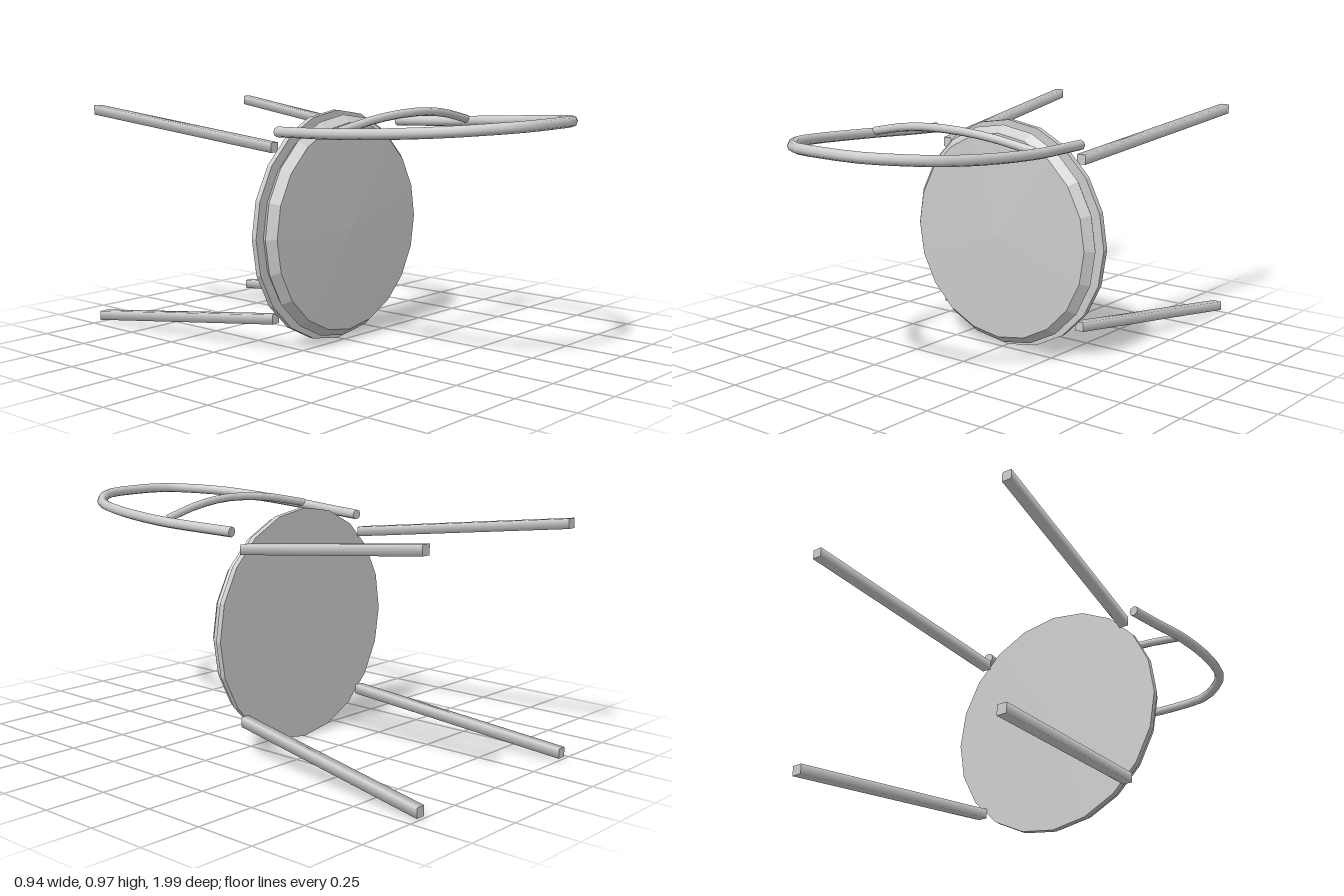
import * as THREE from 'three';

const grey = new THREE.MeshStandardMaterial({ color: 0xcccccc });
grey.name = 'plain grey';

const SEAT_Y = 0.47;

function add(group, name, geometry) {
  const mesh = new THREE.Mesh(geometry, grey);
  mesh.name = name;
  group.add(mesh);
  return mesh;
}

// Faceted 20-sided disc whose profile [radius, z] runs along the z axis
function facetedDisc(profile) {
  const points = profile.map(([r, z]) => new THREE.Vector2(r, z));
  const geometry = new THREE.LatheGeometry(points, 20).rotateX(Math.PI / 2).toNonIndexed();
  geometry.computeVertexNormals();
  return geometry;
}

// Square bar sheared from a to b, with ends kept parallel to the seat
function leg(a, b) {
  const geometry = new THREE.CylinderGeometry(0.0275, 0.0275, 1, 4, 1);
  geometry.rotateY(Math.PI / 4).rotateX(Math.PI / 2);
  const p = geometry.attributes.position;
  for (let i = 0; i < p.count; i++) {
    const t = p.getZ(i) + 0.5; // 0 at the foot, 1 at the seat
    p.setXYZ(i,
      p.getX(i) + THREE.MathUtils.lerp(b.x, a.x, t),
      p.getY(i) + THREE.MathUtils.lerp(b.y, a.y, t),
      THREE.MathUtils.lerp(b.z, a.z, t));
  }
  return geometry;
}

export function createModel() {
  const chair = new THREE.Group();
  chair.name = 'chair';

  // Seat: thin base plate and bevelled, slightly domed cushion
  const base = add(chair, 'seatBase', facetedDisc([[0, -0.06], [0.47, -0.06], [0.47, -0.037], [0, -0.037]]));
  const cushion = add(chair, 'seatCushion', facetedDisc([[0.43, -0.037], [0.453, -0.005], [0.423, 0.029], [0, 0.04]]));
  base.position.y = cushion.position.y = SEAT_Y;

  // Four splayed legs
  for (const side of [1, -1]) {
    for (const end of [1, -1]) {
      const at = (x, y, z) => new THREE.Vector3(side * x, 0.474 + end * y, z);
      add(chair, end > 0 ? 'backLeg' : 'frontLeg', leg(at(0.342, 0.338, -0.06), at(0.445, 0.446, -1)));
    }
  }

  // Backrest hoop, mirrored from one half outline [x, z]
  const half = [[0.365, -0.02], [0.385, 0.14], [0.406, 0.28], [0.409, 0.4], [0.403, 0.52],
    [0.381, 0.66], [0.338, 0.785], [0.24, 0.898], [0.178, 0.946], [0.114, 0.966]];
  const rise = (z) => 0.877 + 0.03 * z + 0.033 * z * z;
  const outline = [...half, [0, 0.972], ...half.slice().reverse().map(([x, z]) => [-x, z])];
  const hoop = new THREE.CatmullRomCurve3(outline.map(([x, z]) => new THREE.Vector3(x, rise(z), z)));
  add(chair, 'backHoop', new THREE.TubeGeometry(hoop, 32, 0.0205, 8));
  for (const t of [0, 1]) {
    const cap = add(chair, 'hoopEnd', new THREE.CircleGeometry(0.0205, 8));
    const end = hoop.getPoint(t);
    cap.position.copy(end);
    cap.lookAt(end.clone().addScaledVector(hoop.getTangent(t), t ? 1 : -1));
  }

  // Bowed cross rail
  const rail = new THREE.CatmullRomCurve3([[-0.4, 0.898, 0.315], [-0.2, 0.936, 0.343], [0, 0.95, 0.36],
    [0.2, 0.936, 0.343], [0.4, 0.898, 0.315]].map((p) => new THREE.Vector3(...p)));
  add(chair, 'crossRail', new THREE.TubeGeometry(rail, 10, 0.0165, 8));

  return chair;
}
